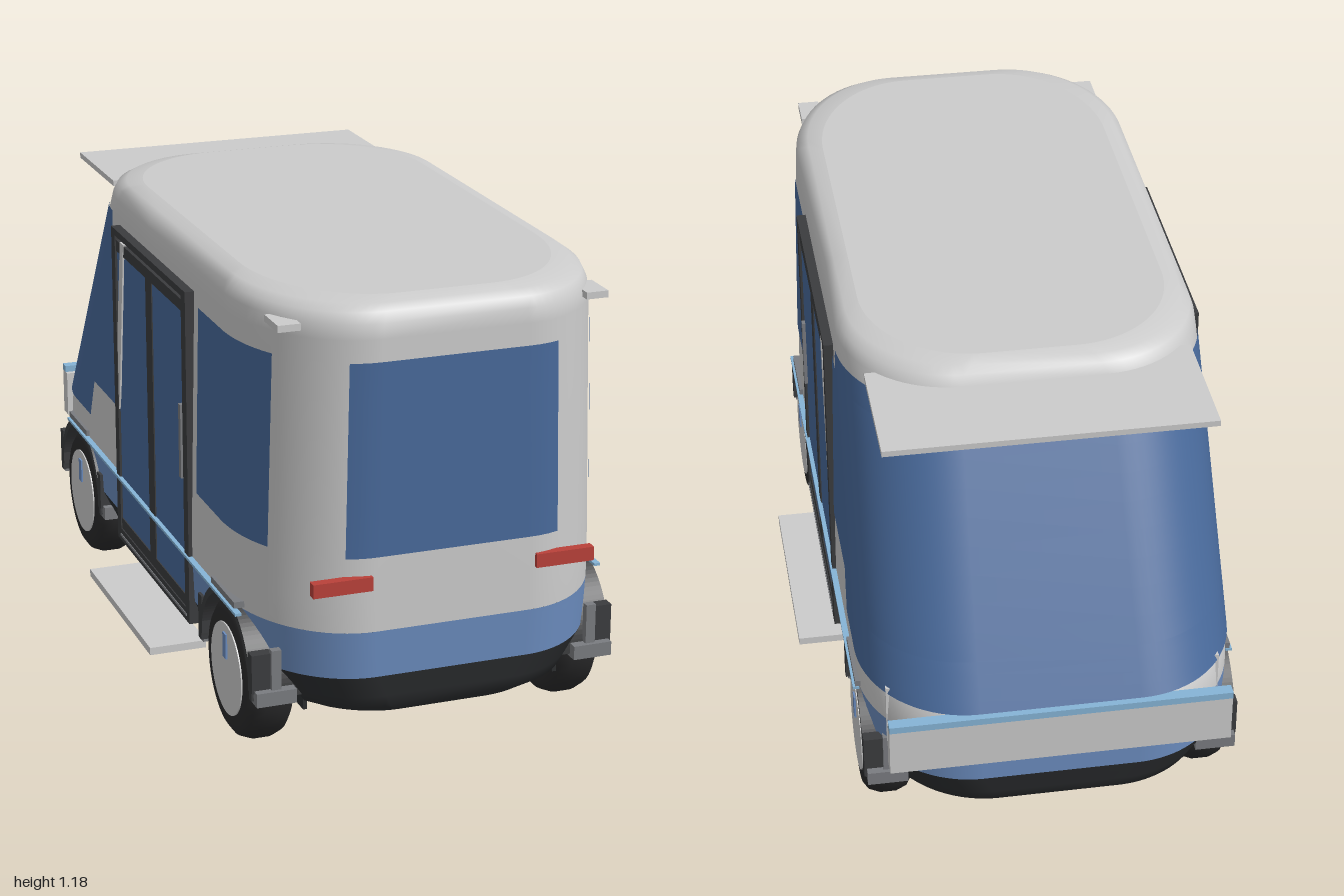
import * as THREE from 'three';

const mat = (color) => new THREE.MeshStandardMaterial({ color });
const M = {
  body: mat(0xf0f1f2), band: mat(0x6b8cbe), glass: mat(0x48699a), dark: mat(0x2c2e30),
  frame: mat(0x3b3c3e), tyre: mat(0x2a2a2b), red: mat(0xb9413a), grey: mat(0xcccccc),
  trim: mat(0x86b4d6), step: mat(0xe2e4e5), flap: mat(0x7a7c80),
};
const WHEELS = [0.667, -0.65], AXLE = 0.18, ARCH = 0.2;
const lerp = THREE.MathUtils.lerp;

// Body profile: height, half width, reach of the +z end, reach of the -z end
const PROFILE = [
  [0.13, 0.38, 0.93, 0.93], [0.16, 0.42, 0.965, 0.965], [0.25, 0.462, 0.985, 0.99],
  [0.37, 0.467, 0.99, 0.99], [0.45, 0.467, 0.99, 0.98], [1.094, 0.452, 0.985, 0.592],
  [1.13, 0.449, 0.98, 0.575], [1.155, 0.44, 0.968, 0.562], [1.17, 0.42, 0.948, 0.542],
  [1.178, 0.385, 0.91, 0.51],
];

// Plan outline at height y for one end: an oblong with elliptical corners
function outline(y, end, off = 0) {
  let i = 0;
  while (i < PROFILE.length - 2 && y > PROFILE[i + 1][0]) i++;
  const a = PROFILE[i], b = PROFILE[i + 1], t = (y - a[0]) / (b[0] - a[0]);
  const hw = lerp(a[1], b[1], t) + off, reach = (end > 0 ? lerp(a[2], b[2], t) : lerp(a[3], b[3], t)) + off;
  const rx = 0.27, rz = end > 0 ? 0.36 : 0.3;
  return { rx, rz, cx: hw - rx, cz: reach - rz };
}
const round = (d) => (d <= 0 ? 1 : Math.sqrt(Math.max(0, 1 - d * d)));
function sideX(y, z, off) {
  const o = outline(y, z >= 0 ? 1 : -1, off);
  return o.cx + o.rx * round((Math.abs(z) - o.cz) / o.rz);
}
function frontZ(x, y, off) {
  const o = outline(y, 1, off);
  return o.cz + o.rz * round((Math.abs(x) - o.cx) / o.rx);
}

// Points from the +x side at depth |z| = start, round one end, to the -x side
function wrapPath(y, end, start, off) {
  const o = outline(y, end, off), half = [], N = 18;
  const a0 = start > o.cz ? Math.asin((start - o.cz) / o.rz) : 0;
  half.push([sideX(y, end * start, off), end * start]);
  for (let k = 0; k <= N; k++) {
    const a = lerp(a0, Math.PI / 2, k / N);
    half.push([o.cx + o.rx * Math.cos(a), end * (o.cz + o.rz * Math.sin(a))]);
  }
  return [...half, ...half.slice().reverse().map(([x, z]) => [-x, z])].map(([x, z]) => new THREE.Vector3(x, y, z));
}

// Surface through rows of points
function skin(rows, flip, material) {
  const n = rows[0].length, index = [];
  for (let r = 0; r < rows.length - 1; r++) for (let c = 0; c < n - 1; c++) {
    const a = r * n + c, b = a + 1, u = a + n, v = u + 1;
    index.push(...(flip ? [a, b, u, b, v, u] : [a, u, b, b, u, v]));
  }
  const g = new THREE.BufferGeometry().setFromPoints(rows.flat());
  g.setIndex(index);
  g.computeVertexNormals();
  return new THREE.Mesh(g, material);
}
const steps = (a, b, n) => Array.from({ length: n + 1 }, (_, i) => lerp(a, b, i / n));

export function createModel() {
  const model = new THREE.Group();
  const add = (name, mesh, parent = model) => { mesh.name = name; parent.add(mesh); return mesh; };
  // Box given by its ranges in x, y and z
  const box = (name, m, [x0, x1], [y0, y1], [z0, z1]) => {
    const b = new THREE.Mesh(new THREE.BoxGeometry(Math.abs(x1 - x0), y1 - y0, Math.abs(z1 - z0)), m);
    b.position.set((x0 + x1) / 2, (y0 + y1) / 2, (z0 + z1) / 2);
    add(name, b);
  };
  const wrap = (name, m, end, ys, start, off = 0) =>
    add(name, skin(ys.map((y) => wrapPath(y, end, start(y), off)), end < 0, m));
  const sidePanel = (name, m, s, ys, from, to, off = 0) =>
    add(name, skin(ys.map((y) => steps(from(y), to(y), 14).map((z) =>
      new THREE.Vector3(s * sideX(y, z, off), y, z))), s < 0, m));
  const zyShape = (pts) => new THREE.Shape(pts.map(([z, y]) => new THREE.Vector2(-z, y)));
  const rect = (z0, z1, y0, y1) => zyShape([[z0, y0], [z1, y0], [z1, y1], [z0, y1]]);

  // Shell: upper body, then lower bands cut by the wheel arches
  const arch = (y) => Math.sqrt(Math.max(0, ARCH ** 2 - (y - AXLE) ** 2));
  const upper = [0.37, ...PROFILE.slice(4).map((p) => p[0])];
  const bands = [['sill', M.dark, [0.13, 0.16, 0.19, 0.22, 0.25]], ['lowerBand', M.band, steps(0.25, 0.37, 8)]];
  for (const end of [1, -1]) {
    wrap('upperBody', M.body, end, upper, () => 0);
    const zc = Math.abs(WHEELS[end > 0 ? 0 : 1]);
    for (const [name, m, ys] of bands) wrap(name + 'End', m, end, ys, (y) => zc + arch(y));
  }
  for (const s of [1, -1]) for (const [name, m, ys] of bands)
    sidePanel(name + 'Side', m, s, ys, (y) => WHEELS[1] + arch(y), (y) => WHEELS[0] - arch(y));

  // Flat roof and floor, with the chassis between the wheels
  for (const [name, y, dir, m] of [['roof', 1.178, 1, M.body], ['floor', 0.13, -1, M.dark]]) {
    const ring = [...wrapPath(y, 1, 0, 0), ...wrapPath(y, -1, 0, 0).reverse()];
    const g = new THREE.ShapeGeometry(new THREE.Shape(ring.map((p) => new THREE.Vector2(p.x, -dir * p.z))));
    add(name, new THREE.Mesh(g.rotateX(-dir * Math.PI / 2), m)).position.y = y;
  }
  box('chassis', M.dark, [-0.378, 0.378], [0.132, 0.2], [-0.66, 0.64]);

  // Glazing: wrapped sloping windscreen in three bands, end window
  const OFF = 0.003;
  wrap('windscreenLower', M.glass, -1, steps(0.45, 0.56, 4), (y) => lerp(0.53, 0.49, (y - 0.45) / 0.11), OFF);
  wrap('windscreen', M.glass, -1, steps(0.56, 1.04, 8), () => 0.25, OFF);
  wrap('windscreenUpper', M.glass, -1, steps(1.04, 1.094, 3), () => 0.31, OFF);
  add('endWindow', skin(steps(0.56, 1.04, 4).map((y) => {
    const w = lerp(0.272, 0.262, (y - 0.56) / 0.48);
    return steps(w, -w, 20).map((x) => new THREE.Vector3(x, y, frontZ(x, y, OFF)));
  }), false, M.glass));

  for (const s of [1, -1]) {
    const X = (a, b) => [s * a, s * b];
    // Outline in (z, y) extruded along x from a to b
    const plate = (name, m, shape, a, b) => {
      const g = new THREE.ExtrudeGeometry(shape, { depth: b - a, bevelEnabled: false, curveSegments: 28 });
      add(name, new THREE.Mesh(g.rotateY(Math.PI / 2), m)).position.x = Math.min(s * a, s * b);
    };
    sidePanel('sideWindow', M.glass, s, steps(0.56, 1.04, 4), () => 0.44, () => 0.84, OFF);

    // Double door with frame, rails, centre post and handle
    const frame = rect(0.398, -0.25, 0.19, 1.07);
    frame.holes.push(rect(0.363, -0.218, 0.225, 1.052));
    plate('doorFrame', M.frame, frame, 0.44, 0.477);
    for (const z of [[0.1, 0.363], [-0.218, 0.048]]) box('doorGlass', M.glass, X(0.445, 0.471), [0.25, 1.01], z);
    box('doorPost', M.frame, X(0.445, 0.474), [0.22, 1.04], [0.048, 0.1]);
    box('doorTopRail', M.frame, X(0.445, 0.474), [1.01, 1.04], [-0.218, 0.363]);
    box('doorBottomRail', M.frame, X(0.445, 0.474), [0.22, 0.255], [-0.218, 0.363]);
    box('threshold', M.flap, X(0.46, 0.479), [0.203, 0.21], [-0.22, 0.375]);
    box('doorHandle', M.flap, X(0.465, 0.48), [0.57, 0.765], [0.338, 0.355]);
    plate('doorPillarPanel', M.body,
      zyShape([[-0.145, 1.045], [-0.175, 1.045], [-0.22, 0.76], [-0.22, 0.56], [-0.205, 0.62]]), 0.45, 0.4755);

    // Boarding step, trim line, marker lamps
    box('boardingStep', M.step, X(0.42, 0.57), [0.1, 0.12], [-0.21, 0.355]);
    box('trimLine', M.trim, X(0.466, 0.482), [0.367, 0.374], [-0.74, 0.785]);
    box('roofMarker', M.grey, X(0.36, 0.416), [1.113, 1.13], [0.82, 0.915]);
    box('tailLight', M.red, X(0.21, 0.36), [0.48, 0.515], [0.975, 1.0]);
    box('bumperPost', M.grey, X(0.4, 0.415), [0.3, 0.465], [-0.87, -0.855]);

    for (const zc of WHEELS) {
      // Wheel arch liner, mudguards and cover plate
      const ring = new THREE.Shape();
      ring.absarc(-zc, AXLE, 0.206, 0, Math.PI, false);
      ring.absarc(-zc, AXLE, 0.188, Math.PI, 0, true);
      plate('wheelArch', M.frame, ring, 0.335, 0.472);
      box('archWall', M.dark, X(0.325, 0.335), [0.131, 0.37], [zc - 0.19, zc + 0.19]);
      box('archCover', M.flap, X(0.43, 0.476), [0.376, 0.392], [zc - 0.09, zc + 0.09]);
      for (const d of [1, -1]) {
        box('mudguard', M.frame, X(0.42, 0.472), [0.2, 0.3], [zc + d * 0.18, zc + d * 0.21]);
        box('mudguardPost', M.flap, X(0.4, 0.425), [0.2, 0.31], [zc + d * 0.2, zc + d * 0.22]);
        box('mudguardFoot', M.flap, X(0.365, 0.466), [0.172, 0.208], [zc + d * 0.19, zc + d * 0.23]);
      }

      // Wheel: tyre, hub disc, inner spokes and valve mark
      const wheel = add('wheel', new THREE.Group());
      wheel.position.set(s * 0.405, AXLE, zc);
      wheel.rotation.y = s > 0 ? 0 : Math.PI;
      const section = [[0.105, -0.035], [0.12, -0.06], [0.15, -0.06], [0.169, -0.047], [0.18, -0.02],
        [0.18, 0.02], [0.169, 0.047], [0.15, 0.06], [0.115, 0.06]].map(([r, h]) => new THREE.Vector2(r, h));
      add('tyre', new THREE.Mesh(new THREE.LatheGeometry(section, 40).rotateZ(-Math.PI / 2), M.tyre), wheel);
      const hub = new THREE.CylinderGeometry(0.118, 0.118, 0.085, 40).rotateZ(-Math.PI / 2);
      add('hubDisc', new THREE.Mesh(hub, M.step), wheel).position.x = 0.021;
      const back = new THREE.CylinderGeometry(0.118, 0.118, 0.01, 32).rotateZ(-Math.PI / 2);
      add('hubBack', new THREE.Mesh(back, M.dark), wheel).position.x = -0.028;
      for (let k = 0; k < 5; k++) {
        const spoke = add('spoke', new THREE.Mesh(new THREE.BoxGeometry(0.02, 0.22, 0.018), M.frame), wheel);
        spoke.position.x = -0.038;
        spoke.rotation.x = (k * Math.PI) / 5;
      }
      add('valveMark', new THREE.Mesh(new THREE.BoxGeometry(0.01, 0.065, 0.025), M.band), wheel)
        .position.set(0.063, 0.062, 0);
    }
  }

  // Bumper beam with trim, and the sun visor
  box('bumper', M.grey, [-0.423, 0.423], [0.305, 0.432], [-0.997, -0.955]);
  box('bumperTrim', M.trim, [-0.423, 0.423], [0.432, 0.45], [-1.0, -0.97]);
  box('sunVisor', M.grey, [-0.403, 0.403], [1.115, 1.13], [-0.815, -0.48]);
  return model;
}
